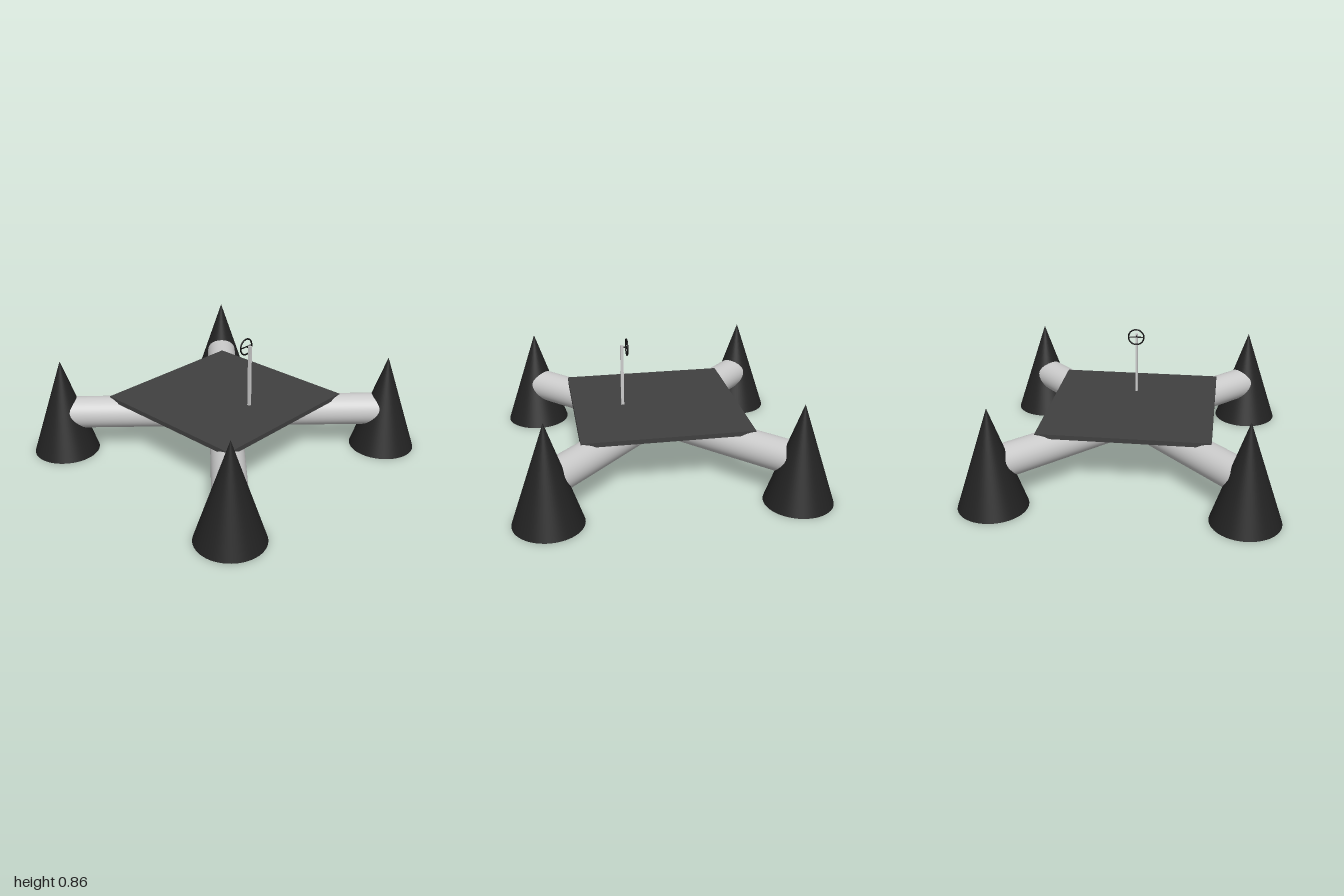
import * as THREE from 'three';

const mat = (color) => new THREE.MeshStandardMaterial({ color });

export function createModel() {
  const model = new THREE.Group();
  const grey = mat(0xcccccc);
  const coneMat = mat(0x222222);
  const plateMat = mat(0x404040);
  const wheelMat = mat(0x111111);

  const add = (name, geometry, material, x, y, z, parent = model) => {
    const mesh = new THREE.Mesh(geometry, material);
    mesh.name = name;
    mesh.position.set(x, y, z);
    parent.add(mesh);
    return mesh;
  };

  // Four cone feet and the two crossing tubes that join them
  const reach = 0.779;
  const cone = new THREE.ConeGeometry(0.221, 0.66, 64);
  for (const sx of [-1, 1])
    for (const sz of [-1, 1]) add('coneFoot', cone, coneMat, sx * reach, 0.33, sz * reach);

  const tube = new THREE.CylinderGeometry(0.108, 0.108, reach * 2 * Math.SQRT2, 48);
  tube.rotateZ(Math.PI / 2);
  for (const s of [-1, 1]) add('crossTube', tube, grey, 0, 0.281, 0).rotation.y = s * Math.PI / 4;

  // Square deck
  add('deck', new THREE.BoxGeometry(1.11, 0.03, 1.11), plateMat, 0, 0.381, 0);

  // Steering post
  add('steeringPost', new THREE.BoxGeometry(0.016, 0.43, 0.02), grey, 0, 0.605, 0.222);

  // Steering wheel: rim, cross spoke and short shaft to the post
  const wheel = new THREE.Group();
  wheel.name = 'steeringWheel';
  wheel.position.set(0, 0.805, 0.189);
  model.add(wheel);
  add('wheelRim', new THREE.TorusGeometry(0.053, 0.005, 12, 48), wheelMat, 0, 0, 0, wheel);
  const spoke = new THREE.CylinderGeometry(0.004, 0.004, 0.106, 12);
  add('wheelSpoke', spoke, wheelMat, 0, 0, 0, wheel).rotation.z = Math.PI / 2;
  const shaft = new THREE.CylinderGeometry(0.004, 0.004, 0.03, 12);
  add('wheelShaft', shaft, wheelMat, 0, 0, 0.013, wheel).rotation.x = Math.PI / 2;

  return model;
}
